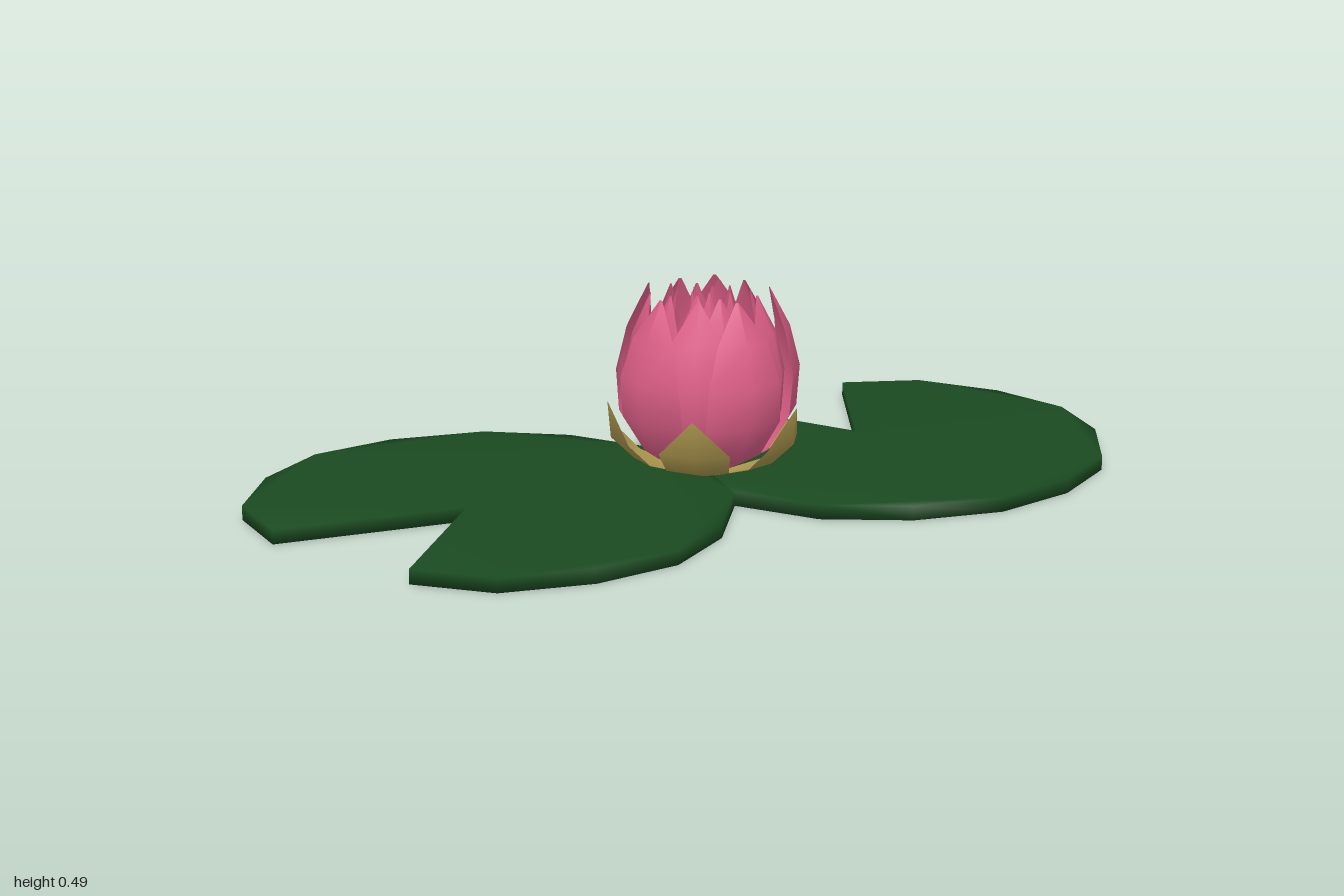
import * as THREE from 'three';
import { mergeVertices } from 'three/addons/utils/BufferGeometryUtils.js';

const PAD_HEIGHT = 0.035;
const rad = THREE.MathUtils.degToRad;

const green = new THREE.MeshStandardMaterial({ color: 0x1a4a20 });
const pink = new THREE.MeshStandardMaterial({ color: 0xe0608a, side: THREE.DoubleSide });
const gold = new THREE.MeshStandardMaterial({ color: 0xb09a50, side: THREE.DoubleSide });

// Half of the pad rim: [degrees away from the tip, distance from the notch]
const RIM = [[0, 0.65], [20, 0.642], [40, 0.635], [62, 0.607], [83, 0.59], [105, 0.551], [129, 0.526], [152, 0.466]];

// Notched lily pad; the notch corner sits at x, z and the tip points along the heading
function createPad(name, x, z, heading) {
  const rim = [...RIM.slice(1).reverse().map(([a, r]) => [-a, r]), ...RIM];
  const points = rim.map(([a, r]) => new THREE.Vector2(
    r * Math.cos(rad(a + heading)), r * Math.sin(rad(a + heading))));
  const shape = new THREE.Shape([new THREE.Vector2(0, 0), ...points]);
  let geometry = new THREE.ExtrudeGeometry(shape, { depth: PAD_HEIGHT, bevelEnabled: false });
  geometry.rotateX(Math.PI / 2);
  // Share the rim vertices so the edge is shaded softly
  geometry.deleteAttribute('normal');
  geometry.deleteAttribute('uv');
  geometry = mergeVertices(geometry);
  geometry.computeVertexNormals();
  const pad = new THREE.Mesh(geometry, green);
  pad.name = name;
  pad.position.set(x, PAD_HEIGHT, z);
  return pad;
}

// Cupped leaf facing +x, from rows of [height, radius, half width]
function createLeafGeometry(rows, radiusScale, widthScale, dip) {
  const positions = [], index = [];
  rows.forEach(([y, r, w], i) => {
    const half = w * widthScale, radius = r * radiusScale;
    for (const side of [-1, 0, 1]) {
      positions.push(radius - Math.abs(side) * half * dip, y, side * half);
    }
    if (i === 0) return;
    for (let c = 0; c < 2; c++) {
      const a = (i - 1) * 3 + c, b = i * 3 + c;
      index.push(a, b, a + 1, a + 1, b, b + 1);
    }
  });
  const geometry = new THREE.BufferGeometry();
  geometry.setAttribute('position', new THREE.Float32BufferAttribute(positions, 3));
  geometry.setIndex(index);
  geometry.computeVertexNormals();
  return geometry;
}

// Five equal leaves around the flower axis
function createWhorl(name, geometry, material, start) {
  const whorl = new THREE.Group();
  whorl.name = name;
  for (let i = 0; i < 5; i++) {
    const leaf = new THREE.Mesh(geometry, material);
    leaf.name = name + 'Leaf';
    leaf.rotation.y = -rad(start + i * 72);
    whorl.add(leaf);
  }
  return whorl;
}

const PETAL = [[0.04, 0.05, 0.03], [0.1, 0.165, 0.072], [0.19, 0.222, 0.1],
  [0.29, 0.23, 0.096], [0.39, 0.205, 0.066], [0.485, 0.155, 0.004]];
const SEPAL = [[0.035, 0.05, 0.03], [0.075, 0.175, 0.075], [0.13, 0.232, 0.085], [0.22, 0.24, 0.002]];

// [radius scale, width scale, starting angle] from outside to inside
const PETAL_LAYERS = [[1, 1, 54], [0.87, 0.92, 90], [0.68, 0.8, 64], [0.46, 0.65, 100], [0.25, 0.45, 70]];

export function createModel() {
  const model = new THREE.Group();
  model.name = 'waterLily';

  model.add(createPad('frontPad', -0.47, 0.39, -58));
  model.add(createPad('backPad', 0.37, -0.375, 52.5));

  const flower = new THREE.Group();
  flower.name = 'flower';
  flower.position.set(0.042, 0, 0.018);
  flower.add(createWhorl('sepals', createLeafGeometry(SEPAL, 1, 1, 0.35), gold, 90));
  PETAL_LAYERS.forEach(([radius, width, start], i) => {
    flower.add(createWhorl('petalLayer' + (i + 1), createLeafGeometry(PETAL, radius, width, 0.38), pink, start));
  });
  model.add(flower);

  return model;
}
